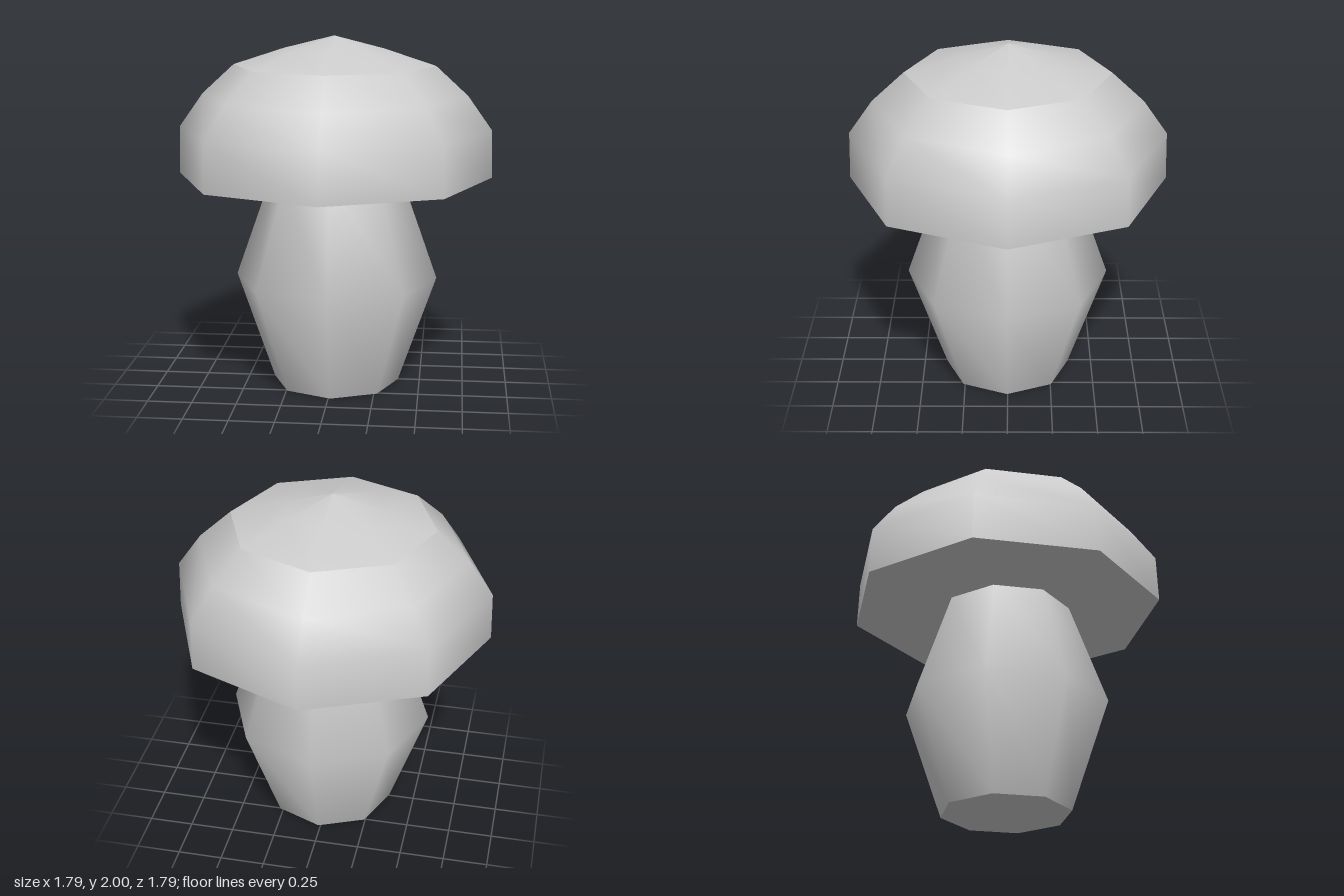
import * as THREE from 'three';

const SIDES = 8;

// Each run of the profile is its own smooth lathe, so the joints between runs stay crisp.
function turned(name, runs, material) {
  const part = new THREE.Group();
  part.name = name;
  for (const [label, points] of Object.entries(runs)) {
    const profile = points.map(([r, y]) => new THREE.Vector2(r, y));
    const mesh = new THREE.Mesh(new THREE.LatheGeometry(profile, SIDES), material);
    mesh.name = label;
    part.add(mesh);
  }
  return part;
}

export function createModel() {
  const material = new THREE.MeshStandardMaterial({ color: 0xcccccc });
  const model = new THREE.Group();
  model.name = 'mushroom';

  // Barrel-shaped stem, slightly off centre
  const stem = turned('stem', {
    stemBase: [[0, 0], [0.363, 0]],
    stemSide: [[0.363, 0], [0.578, 0.62], [0.37, 1.21]],
  }, material);
  stem.position.set(0.012, 0, 0.003);

  // Domed cap with a flat underside and a shallow peak
  const cap = turned('cap', {
    capUnderside: [[0, 1.21], [0.893, 1.21]],
    capSide: [[0.893, 1.21], [0.885, 1.48], [0.75, 1.67], [0.57, 1.835]],
    capPeak: [[0.57, 1.835], [0.28, 1.93], [0, 2]],
  }, material);

  model.add(stem, cap);
  return model;
}
